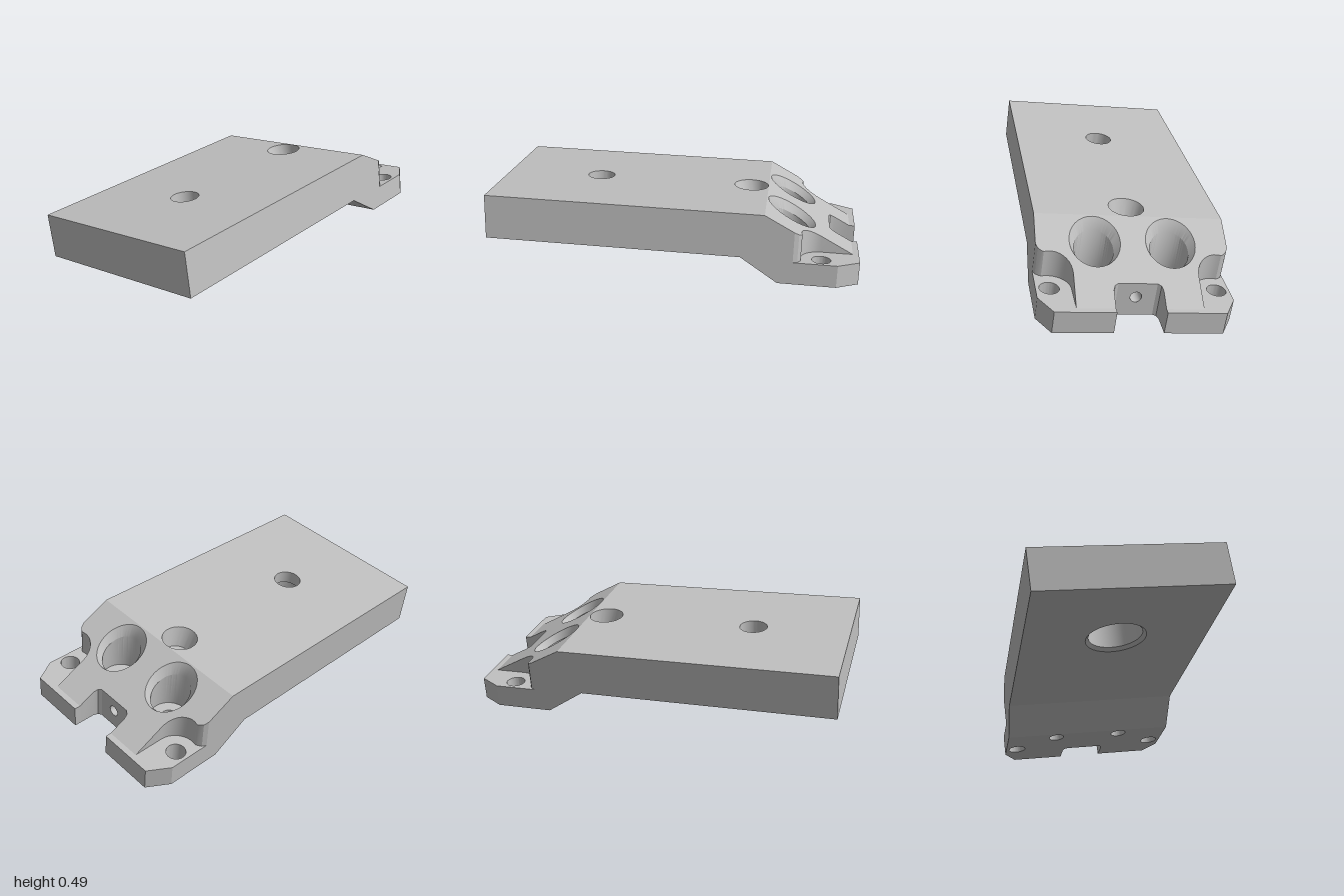
import * as THREE from 'three';
import { toCreasedNormals } from 'three/addons/utils/BufferGeometryUtils.js';

// Plan coordinates are [x, c]: x across the plate, c the distance back from the front edge.
const W = 0.475, FLOOR = -0.235, BASE = -0.35, SEG = 48;

const profile = (pts) => (c) => {
  for (let i = 1; i < pts.length; i++) {
    const [c0, y0] = pts[i - 1], [c1, y1] = pts[i];
    if (c <= c1) return y0 + (y1 - y0) * (c - c0) / (c1 - c0);
  }
  return pts[pts.length - 1][1];
};
const top = profile([[0, 0], [1.41, 0], [1.86, FLOOR], [2, FLOOR]]);
const bottom = profile([[0, -0.227], [1.3, -0.227], [1.49, BASE], [2, BASE]]);
const height = (h, c) => (typeof h === 'function' ? h(c) : h);
const mirror = (path) => path.map(([x, c]) => [-x, c]).reverse();

function circle(x, c, r) {
  const pts = [];
  for (let i = 0; i <= SEG; i++) {
    const a = -(i % SEG) / SEG * Math.PI * 2;
    pts.push([x + r * Math.cos(a), c + r * Math.sin(a)]);
  }
  return pts;
}

export function createModel() {
  const steel = new THREE.MeshStandardMaterial({ color: 0xc0c0c0, side: THREE.DoubleSide });
  steel.name = 'plain grey';
  const part = new THREE.Group();
  part.name = 'cuttingPlate';

  const add = (name, geometry) => {
    const mesh = new THREE.Mesh(geometry, steel);
    mesh.name = name;
    part.add(mesh);
    return mesh;
  };

  // Flat or sloped face with round holes [x, c, r]
  function face(name, outline, h, holes = [], down = false) {
    const v2 = (p) => new THREE.Vector2(p[0], p[1]);
    const shape = new THREE.Shape(outline.map(v2));
    for (const [x, c, r] of holes) shape.holes.push(new THREE.Path(circle(x, c, r).slice(0, -1).map(v2)));
    const g = new THREE.ShapeGeometry(shape);
    const p = g.attributes.position;
    for (let i = 0; i < p.count; i++) {
      const c = p.getY(i);
      p.setXYZ(i, p.getX(i), height(h, c), -c);
    }
    if (down) g.setIndex(Array.from(g.index.array).reverse());
    g.computeVertexNormals();
    add(name, g);
  }

  // Walls between successive rows of [x, y, z] points, listed from the top down
  function skin(name, rows) {
    const v = [];
    for (let r = 1; r < rows.length; r++) {
      const hi = rows[r - 1], lo = rows[r];
      for (let i = 1; i < hi.length; i++) {
        v.push(...lo[i - 1], ...lo[i], ...hi[i], ...lo[i - 1], ...hi[i], ...hi[i - 1]);
      }
    }
    const g = new THREE.BufferGeometry();
    g.setAttribute('position', new THREE.Float32BufferAttribute(v, 3));
    add(name, toCreasedNormals(g, 0.5));
  }
  const row = (path, h) => path.map(([x, c]) => [x, height(h, c), -c]);
  const wall = (name, path, hi, lo) => skin(name, [row(path, hi), row(path, lo)]);
  // Stepped bore made of rings [radius, height, backward shift]
  const bore = (name, x, c, rings) =>
    skin(name, rings.map(([r, h, shift = 0]) => row(circle(x, c + shift, r), h)));

  // Rounded edge of the right corner pocket
  const pocket = [[W, 1.56], [0.465, 1.582], [0.447, 1.595]];
  for (let i = 0; i <= 10; i++) {
    const a = -(75 + 105 * i / 10) * Math.PI / 180;
    pocket.push([0.41 + 0.105 * Math.cos(a), 1.70 + 0.105 * Math.sin(a)]);
  }
  pocket.push([0.305, 1.86]);
  const notch = [[0.12, 1.86], [0.12, 1.775], [0.112, 1.753], [0.095, 1.743]];
  const tip = [[W, 1.56], [W, 1.78], [0.41, 1.89], [0.12, 1.89]];

  // Top faces
  const B = { x: 0.188, c: 1.542, r: 0.125 };
  face('mainTop', [[-W, 0], [W, 0], [W, 1.41], [-W, 1.41]], 0, [[0, 0.5, 0.072], [0, 1.318, 0.09]]);
  face('slopedTop', [[W, 1.41], ...pocket, ...notch, ...mirror(notch), ...mirror(pocket), [-W, 1.41]], top,
    [[B.x, B.c, B.r], [-B.x, B.c, B.r]]);

  // Underside
  face('mainUnderside', [[-W, 0], [W, 0], [W, 1.3], [-W, 1.3]], bottom, [[0, 0.5, 0.155]], true);
  face('slopedUnderside', [[-W, 1.3], [W, 1.3], [W, 1.49], [-W, 1.49]], bottom, [], true);
  const baseHalf = [[W, 1.49], ...tip.slice(1), ...notch.slice(1)];
  const through = [];
  for (const s of [1, -1]) through.push([s * B.x, B.c, 0.043], [s * 0.41, 1.7, 0.048]);
  face('tipUnderside', [...baseHalf, ...mirror(baseHalf)], BASE, through, true);

  // Outer walls, pockets and bores on both sides
  wall('frontWall', [[-W, 0], [W, 0]], top, bottom);
  for (const s of [1, -1]) {
    const side = (path) => (s > 0 ? path : mirror(path));
    const name = s > 0 ? 'left' : 'right';
    wall(name + 'SideWall', side([0, 1.3, 1.41, 1.49, 1.56].map((c) => [W, c])), top, bottom);
    wall(name + 'TipWall', side(tip), FLOOR, BASE);
    wall(name + 'PocketWall', side(pocket), top, FLOOR);
    wall(name + 'NotchWall', side([[0.12, 1.89], ...notch]), top, BASE);
    face(name + 'PocketFloor', side([...pocket, [0.12, 1.86], ...tip.slice(1).reverse()]), FLOOR,
      [[s * 0.41, 1.7, 0.048]]);
    bore(name + 'CornerHole', s * 0.41, 1.7, [[0.048, FLOOR], [0.048, BASE]]);
    bore(name + 'ScrewBore', s * B.x, B.c, [
      [B.r, top], [0.097, (c) => top(c) - 0.045], [0.097, -0.27], [0.043, -0.27], [0.043, BASE]]);
  }

  // Mounting hole, wide on the underside
  bore('mountingHole', 0, 0.5, [[0.072, 0], [0.072, -0.07], [0.138, -0.07], [0.138, -0.21], [0.155, -0.227]]);
  // Leaning blind hole near the bend
  bore('leaningHole', 0, 1.318, [[0.09, 0], [0.068, -0.1, 0.02], [0.04, -0.12, 0.03], [0.001, -0.125, 0.03]]);

  // Rear wall of the notch with its small outlet
  const yT = top(1.743), yH = -0.25;
  const back = new THREE.Shape([[-0.095, BASE], [0.095, BASE], [0.095, yT], [-0.095, yT]]
    .map((p) => new THREE.Vector2(...p)));
  back.holes.push(new THREE.Path().absarc(0, yH, 0.028, 0, Math.PI * 2, true));
  const backWall = add('notchBackWall', new THREE.ShapeGeometry(back, 24));
  backWall.rotation.y = Math.PI;
  backWall.position.z = -1.743;
  const outlet = add('outletHole', new THREE.CylinderGeometry(0.028, 0.028, 0.1, 24, 1, true));
  outlet.rotation.x = Math.PI / 2;
  outlet.position.set(0, yH, -1.693);

  // Tilt and turn the finished plate
  const w = new THREE.Vector3(0.142, 0.0095, 0.99).normalize();
  const u = new THREE.Vector3(-0.136, 0.991, 0.01).cross(w).normalize();
  const v = w.clone().cross(u);
  part.quaternion.setFromRotationMatrix(new THREE.Matrix4().makeBasis(u, v, w));
  part.position.set(0.09, 0.429, 0.933);

  const model = new THREE.Group();
  model.name = 'model';
  model.add(part);
  return model;
}
